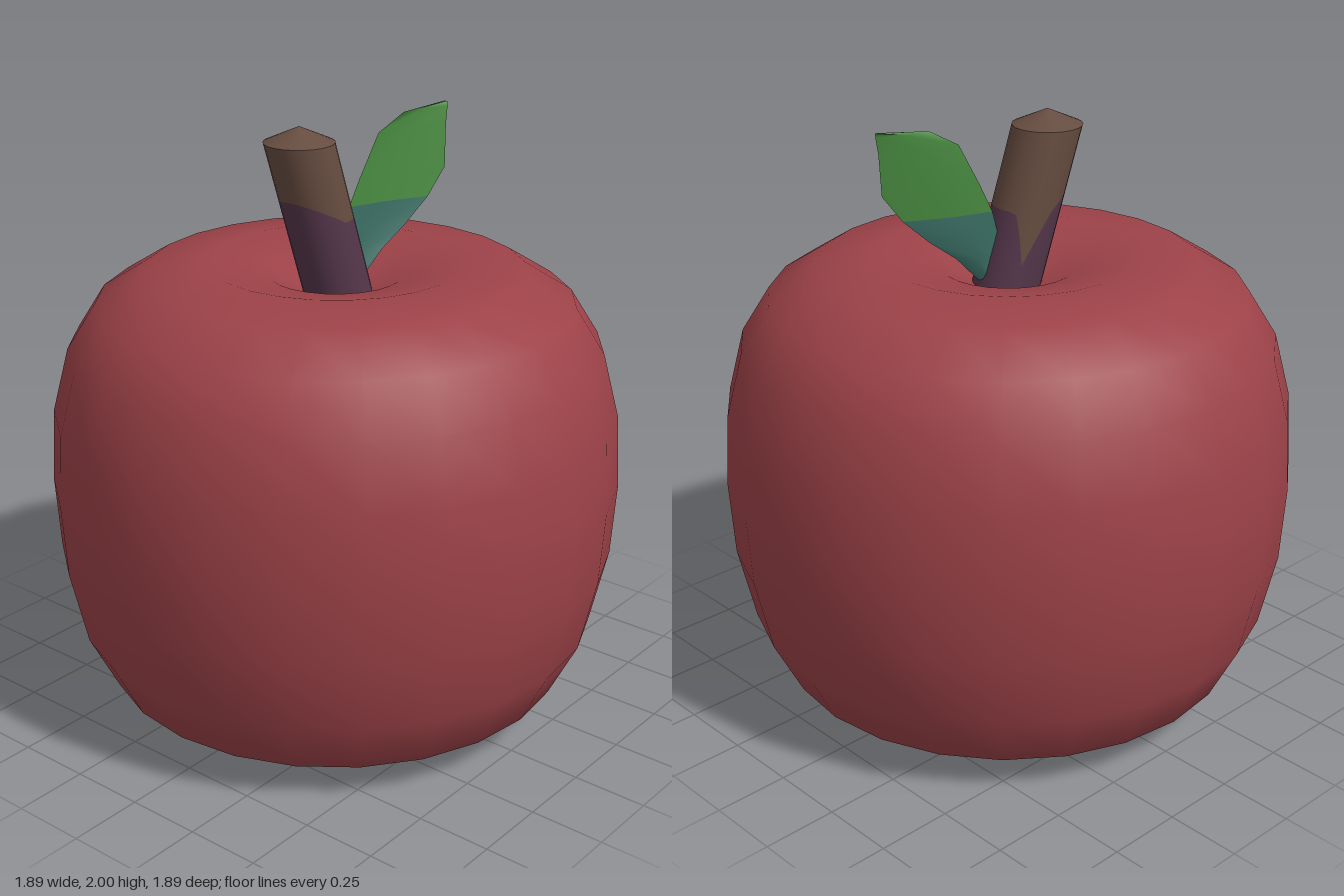
import * as THREE from 'three';
import { ParametricGeometry } from 'three/addons/geometries/ParametricGeometry.js';

const flat = (name, color, side = THREE.FrontSide) => {
  const m = new THREE.MeshStandardMaterial({ color, side });
  m.name = name;
  return m;
};

export function createModel() {
  const group = new THREE.Group();
  const red = flat('apple red', 0x9c4248);
  const brown = flat('stem brown', 0x664c40);
  const purple = flat('stem purple', 0x54364a);
  const green = flat('leaf green', 0x488a40, THREE.DoubleSide);
  const teal = flat('leaf teal', 0x3a6e64, THREE.DoubleSide);
  const add = (name, geometry, material) => {
    const mesh = new THREE.Mesh(geometry, material);
    mesh.name = name;
    group.add(mesh);
    return mesh;
  };

  // Body: turned profile with a dimple at each end
  const profile = [
    [0, 0.12], [0.1, 0.1], [0.22, 0.045], [0.42, 0.005], [0.62, 0.03], [0.78, 0.13],
    [0.875, 0.32], [0.93, 0.57], [0.945, 0.82], [0.93, 1.06], [0.875, 1.27], [0.78, 1.42],
    [0.62, 1.52], [0.42, 1.545], [0.22, 1.5], [0.1, 1.44], [0, 1.42],
  ].map(([r, y]) => new THREE.Vector2(r, y));
  profile[3].y = 0;
  add('body', new THREE.LatheGeometry(profile, 24), red);

  // Stem: leaning tube, split along a wavy colour line
  const bottom = 1.38, top = 1.95;
  const colourLine = (a) => 1.7 + 0.07 * Math.max(0, -Math.cos(a))
    - 0.17 * Math.exp(-(((a - Math.PI / 3) / 0.3) ** 2));
  const tube = (low, high) => new ParametricGeometry((u, v, p) => {
    const a = u * Math.PI * 2;
    const y = THREE.MathUtils.lerp(low(a), high(a), v);
    const rise = y - 1.55;
    p.set(-0.027 - 0.27 * rise + 0.114 * Math.cos(a), y,
      -0.003 - 0.085 * rise - 0.112 * Math.sin(a));
  }, 24, 4);
  add('stemBase', tube(() => bottom, colourLine), purple);
  add('stem', tube(colourLine, () => top), brown);
  const cap = add('stemCap', new THREE.ConeGeometry(0.114, 0.05, 24, 1, true), brown);
  cap.position.set(-0.135, top + 0.025, -0.037);

  // Leaf: rows of [height, inner edge x, outer edge x], lightly folded and twisted
  const rows = [
    [1.46, 0.08, 0.1], [1.55, 0.07, 0.18], [1.62, 0.06, 0.27], [1.7, 0.08, 0.355],
    [1.79, 0.12, 0.42], [1.93, 0.19, 0.44], [1.985, 0.285, 0.453], [2, 0.45, 0.455],
  ];
  const leafPart = (part) => {
    const pos = [], index = [];
    part.forEach(([y, x0, x1], i) => {
      for (let j = 0; j < 3; j++) {
        const t = j / 2, x = THREE.MathUtils.lerp(x0, x1, t);
        const twist = 0.03 * t * Math.min(1, (2 - y) / 0.2);
        pos.push(x, y, 0.3 * x - 0.035 + twist - (j === 1 ? 0.012 : 0));
        if (i && j) {
          const c = i * 3 + j;
          index.push(c - 4, c - 3, c, c - 4, c, c - 1);
        }
      }
    });
    const g = new THREE.BufferGeometry();
    g.setAttribute('position', new THREE.Float32BufferAttribute(pos, 3));
    g.setIndex(index);
    g.computeVertexNormals();
    return g;
  };
  add('leafBase', leafPart(rows.slice(0, 4)), teal);
  add('leaf', leafPart(rows.slice(3)), green);

  return group;
}
